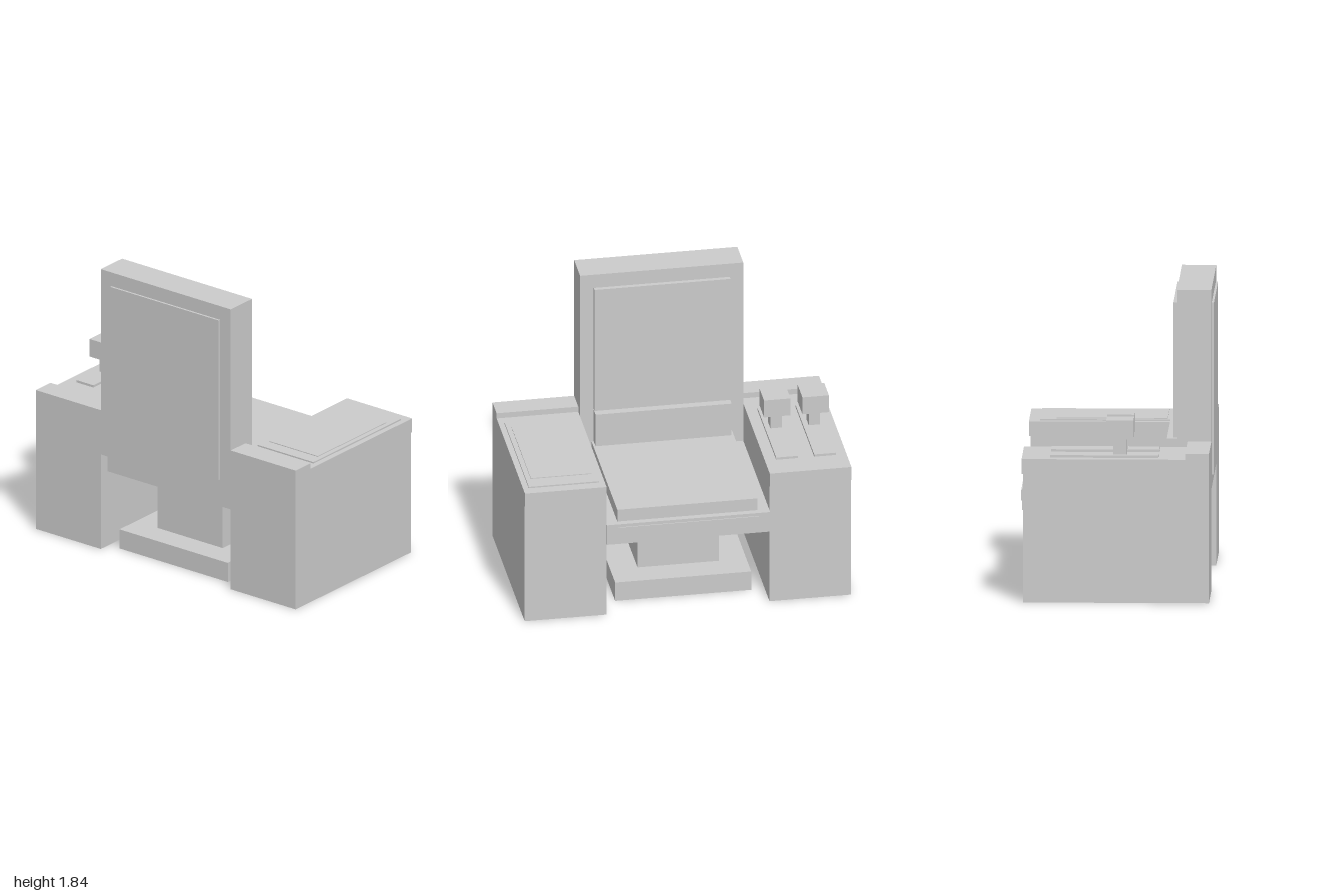
import * as THREE from 'three';

const material = new THREE.MeshStandardMaterial({ color: 0xcccccc, flatShading: true });

// Box given by its extents on each axis
function block(parent, name, [x0, x1], [y0, y1], [z0, z1]) {
  const mesh = new THREE.Mesh(new THREE.BoxGeometry(x1 - x0, y1 - y0, z1 - z0), material);
  mesh.position.set((x0 + x1) / 2, (y0 + y1) / 2, (z0 + z1) / 2);
  mesh.name = name;
  parent.add(mesh);
  return mesh;
}

export function createModel() {
  const model = new THREE.Group();
  model.name = 'commandChair';

  // Arm consoles: body, overhanging cap and raised strip at the backrest end
  for (const side of [-1, 1]) {
    const arm = new THREE.Group();
    arm.name = side > 0 ? 'leftArm' : 'rightArm';
    const x = side > 0 ? [0.5, 1] : [-1, -0.5];
    block(arm, 'armBody', x, [0, 0.785], [-0.555, 0.567]);
    block(arm, 'armCap', x, [0.785, 0.875], [-0.565, 0.567]);
    block(arm, 'armStrip', x, [0.875, 0.91], [0.424, 0.567]);
    model.add(arm);
  }

  // Thin stepped control panel on the left arm
  block(model, 'panelEdge', [0.535, 0.965], [0.87, 0.884], [-0.5, 0.35]);
  block(model, 'panelTop', [0.565, 0.935], [0.88, 0.889], [-0.4, 0.27]);

  // Two levers on the right arm, each with slot plate, stem and knob
  for (const [slotX, knobX] of [[-0.868, -0.87], [-0.635, -0.635]]) {
    const lever = new THREE.Group();
    lever.name = 'lever';
    block(lever, 'slotPlate', [slotX - 0.066, slotX + 0.066], [0.87, 0.89], [-0.395, 0.257]);
    block(lever, 'stem', [knobX - 0.035, knobX + 0.035], [0.88, 0.99], [-0.016, 0.067]);
    block(lever, 'knob', [knobX - 0.081, knobX + 0.081], [0.99, 1.105], [-0.057, 0.108]);
    model.add(lever);
  }

  // Seat
  block(model, 'seatBase', [-0.5, 0.5], [0.487, 0.62], [-0.578, 0.5]);
  block(model, 'seatFrontTrim', [-0.43, 0.43], [0.535, 0.6], [-0.584, -0.57]);
  block(model, 'seatCushion', [-0.43, 0.43], [0.62, 0.7], [-0.54, 0.36]);

  // Backrest with front pad, lumbar block and rear panel
  block(model, 'backrest', [-0.5, 0.5], [0.62, 1.835], [0.36, 0.567]);
  block(model, 'backPad', [-0.417, 0.417], [0.92, 1.745], [0.333, 0.37]);
  block(model, 'lumbarBlock', [-0.417, 0.417], [0.7, 0.915], [0.293, 0.365]);
  block(model, 'rearPanel', [-0.417, 0.417], [0.697, 1.745], [0.56, 0.58]);

  // Pedestal and foot
  block(model, 'pedestal', [-0.25, 0.25], [0.12, 0.49], [-0.22, 0.33]);
  block(model, 'foot', [-0.417, 0.417], [0, 0.125], [-0.39, 0.49]);

  return model;
}
